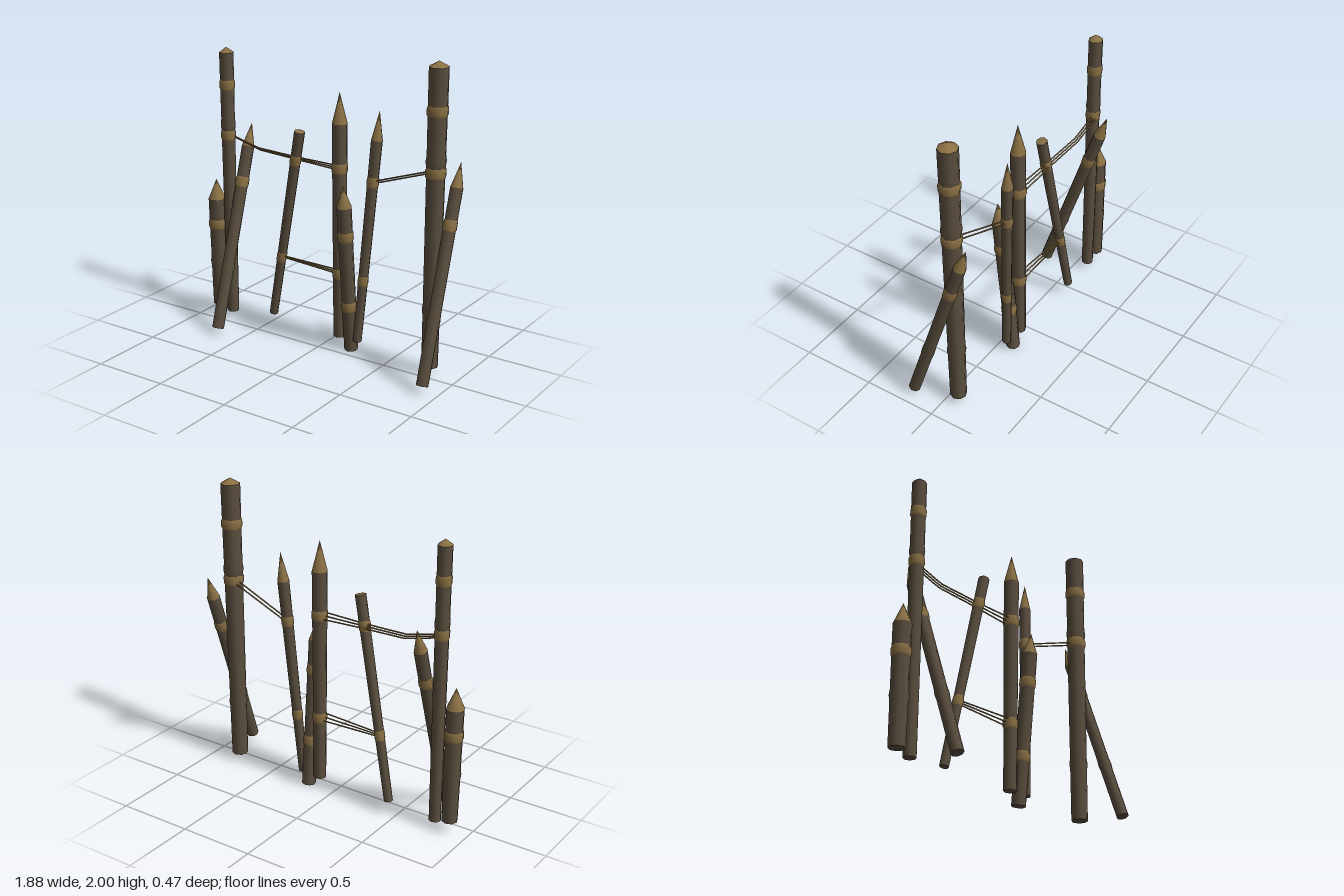
import * as THREE from 'three';

const bark = new THREE.MeshStandardMaterial({ color: 0x5a4e3e });
bark.name = 'bark';
const wood = new THREE.MeshStandardMaterial({ color: 0x8a7044 });
wood.name = 'cut wood and binding';

const SIDES = 8;
const UP = new THREE.Vector3(0, 1, 0);

// One stake: bark lengths with bulging bindings, swollen knots and a cut tip.
// base and top are axis ends; rim, bands and knots are heights in y.
function stake(name, { base, top, r0, r1, rim, bands, knots = [] }) {
  const group = new THREE.Group();
  group.name = name;
  const a = new THREE.Vector3(...base);
  const axis = new THREE.Vector3(...top).sub(a);
  const length = axis.length();
  const along = y => (y - base[1]) / axis.y * length;
  const radius = y => r0 + (r1 - r0) * (y - base[1]) / (rim - base[1]);
  const add = (part, points, material) => {
    const pts = points.map(([y, r]) => new THREE.Vector2(r, along(y)));
    const mesh = new THREE.Mesh(new THREE.LatheGeometry(pts, SIDES), material);
    mesh.name = part;
    group.add(mesh);
  };
  const half = 0.033;
  let start = base[1];
  const barkTo = end => {
    const pts = [[start, radius(start)]];
    for (const k of knots) {
      if (k <= start || k >= end) continue;
      if (k - 0.04 > start) pts.push([k - 0.04, radius(k)]);
      pts.push([k, radius(k) * 1.1]);
      if (k + 0.04 < end) pts.push([k + 0.04, radius(k)]);
    }
    pts.push([end, radius(end)]);
    add('bark', pts, bark);
  };
  for (const y of bands) {
    barkTo(y - half);
    add('binding', [
      [y - half, radius(y - half)], [y - half * 0.6, radius(y) * 1.1],
      [y + half * 0.6, radius(y) * 1.1], [y + half, radius(y + half)],
    ], wood);
    start = y + half;
  }
  barkTo(rim);

  // Sharpened or blunt tip
  const tip = new THREE.Mesh(new THREE.ConeGeometry(r1, length - along(rim), SIDES, 1, true), wood);
  tip.name = 'tip';
  tip.position.y = (length + along(rim)) / 2;
  group.add(tip);

  // Flat underside
  const foot = new THREE.Mesh(new THREE.CircleGeometry(r0, SIDES, Math.PI / 2), bark);
  foot.name = 'foot';
  foot.rotation.x = Math.PI / 2;
  group.add(foot);

  group.position.copy(a);
  group.quaternion.setFromUnitVectors(UP, axis.normalize());
  return group;
}

// One taut strand through a few points, made of straight lengths
function strand(points) {
  const path = new THREE.CurvePath();
  const v = points.map(p => new THREE.Vector3(...p));
  for (let i = 1; i < v.length; i++) path.add(new THREE.LineCurve3(v[i - 1], v[i]));
  const mesh = new THREE.Mesh(new THREE.TubeGeometry(path, (v.length - 1) * 6, 0.005, 5), wood);
  mesh.name = 'ropeStrand';
  return mesh;
}

export function createModel() {
  const model = new THREE.Group();
  model.name = 'stakeFence';

  const stakes = {
    shortEndStake: {
      base: [-0.875, 0.08, -0.085], top: [-0.88, 0.985, -0.07], r0: 0.052, r1: 0.058,
      rim: 0.85, bands: [0.67], knots: [0.4],
    },
    tallRightPost: {
      base: [-0.77, 0.05, -0.085], top: [-0.775, 1.9, -0.075], r0: 0.04, r1: 0.047,
      rim: 1.865, bands: [1.31, 1.65], knots: [1.38],
    },
    rightBrace: {
      base: [-0.68, 0.04, 0.2], top: [-0.692, 1.37, -0.23], r0: 0.04, r1: 0.042,
      rim: 1.22, bands: [0.99], knots: [0.43],
    },
    leaningPole: {
      base: [-0.447, 0.095, -0.12], top: [-0.18, 1.43, -0.055], r0: 0.029, r1: 0.036,
      rim: 1.425, bands: [0.53, 1.23],
    },
    middlePost: {
      base: [0.113, 0.08, -0.085], top: [0.112, 1.72, -0.07], r0: 0.042, r1: 0.05,
      rim: 1.52, bands: [0.52, 1.23],
    },
    middleFrontStake: {
      base: [0.2, 0.005, -0.09], top: [0.2, 1.15, 0.022], r0: 0.046, r1: 0.049,
      rim: 1.01, bands: [0.32, 0.81],
    },
    middleSlantedStake: {
      base: [0.255, 0.08, -0.075], top: [0.352, 1.62, -0.155], r0: 0.03, r1: 0.038,
      rim: 1.43, bands: [0.5, 1.16],
    },
    tallLeftPost: {
      base: [0.798, 0.05, -0.07], top: [0.805, 2, -0.068], r0: 0.054, r1: 0.063,
      rim: 1.965, bands: [1.32, 1.7], knots: [0.44, 1.39],
    },
    leftBrace: {
      base: [0.9, 0.05, 0.2], top: [0.886, 1.36, -0.23], r0: 0.04, r1: 0.042,
      rim: 1.21, bands: [0.99], knots: [0.43],
    },
  };
  for (const [name, spec] of Object.entries(stakes)) model.add(stake(name, spec));

  // Ropes, each a small bundle of strands fanning out slightly
  const upper = new THREE.Group(), lower = new THREE.Group(), side = new THREE.Group();
  upper.name = 'upperRope';
  lower.name = 'lowerRope';
  side.name = 'sideRope';
  for (const i of [-1, 0, 1]) {
    upper.add(strand([
      [-0.77, 1.305 + i * 0.008, -0.1 + i * 0.012], [-0.54, 1.245 + i * 0.01, -0.098 + i * 0.01],
      [-0.22, 1.235 + i * 0.012, -0.085 + i * 0.01], [0.11, 1.228 + i * 0.02, -0.075 + i * 0.015],
    ]));
    lower.add(strand([
      [-0.36, 0.53 + i * 0.008, -0.1 + i * 0.008], [0.11, 0.525 + i * 0.022, -0.08 + i * 0.015],
    ]));
    if (i) side.add(strand([
      [0.32, 1.155 + i * 0.008, -0.132 + i * 0.006], [0.8, 1.325 + i * 0.008, -0.085 + i * 0.01],
    ]));
  }
  model.add(upper, lower, side);
  return model;
}
